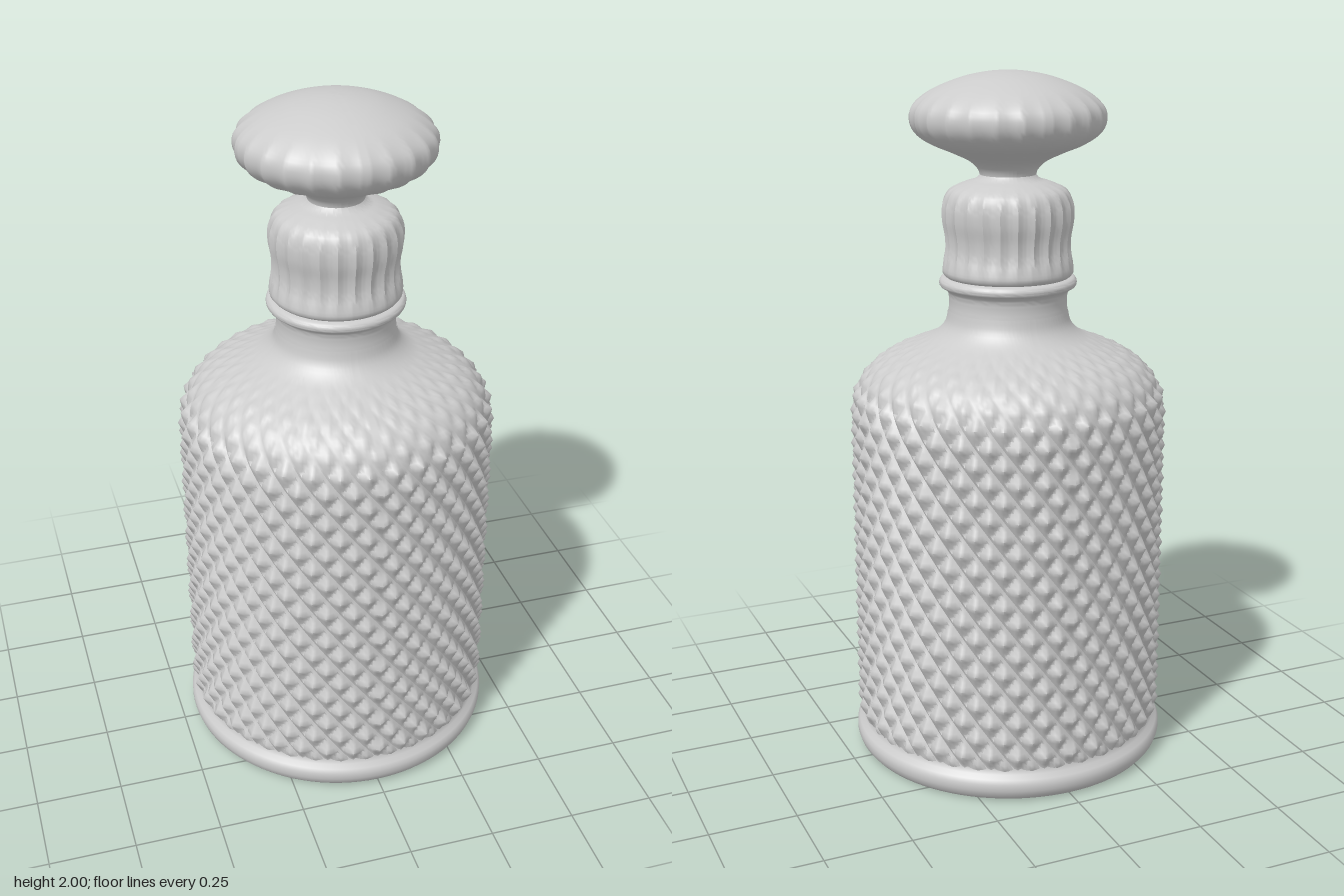
import * as THREE from 'three';
import { toCreasedNormals } from 'three/addons/utils/BufferGeometryUtils.js';

const material = new THREE.MeshStandardMaterial({ color: 0xf8f9f9 });
const vec = (p) => new THREE.Vector2(p[0], p[1]);
const smooth = (pts, n) => new THREE.SplineCurve(pts.map(vec)).getSpacedPoints(n);

// Turned part; relief(row, angle, y) pushes each vertex along its normal
function turned(name, profile, segments, crease, relief) {
  const geo = new THREE.LatheGeometry(profile, segments);
  if (relief) {
    const pos = geo.attributes.position, nor = geo.attributes.normal;
    const rows = profile.length;
    for (let i = 0; i < pos.count; i++) {
      const angle = (Math.floor(i / rows) % segments) / segments * Math.PI * 2;
      const d = relief(i % rows, angle, pos.getY(i));
      pos.setXYZ(i, pos.getX(i) + nor.getX(i) * d, pos.getY(i) + nor.getY(i) * d, pos.getZ(i) + nor.getZ(i) * d);
    }
  }
  const mesh = new THREE.Mesh(toCreasedNormals(geo, crease), material);
  mesh.name = name;
  return mesh;
}

// Raised ridges with shallow hollows between, 24 around
const ridge = (angle) => 0.5 - Math.abs(Math.sin(angle * 12));
const step = THREE.MathUtils.smoothstep;

export function createModel() {
  const group = new THREE.Group();

  // Rounded foot with a flat underside
  group.add(turned('base', [
    [0, 0], [0.43, 0], [0.445, 0.005], [0.456, 0.018], [0.462, 0.035], [0.462, 0.055],
    [0.455, 0.067], [0.443, 0.078], [0.437, 0.092], [0.436, 0.11],
  ].map(vec), 96, 0.7));

  // Body wall and shoulder, covered in staggered diamonds that flatten towards the neck
  const path = new THREE.CurvePath();
  path.add(new THREE.LineCurve(vec([0.436, 0.08]), vec([0.436, 1.04])));
  path.add(new THREE.SplineCurve([
    [0.436, 1.04], [0.428, 1.09], [0.4, 1.15], [0.35, 1.19], [0.285, 1.222],
    [0.217, 1.255], [0.182, 1.29], [0.172, 1.33],
  ].map(vec)));
  const rowStep = 0.0125, columns = 36;
  const profile = path.getSpacedPoints(Math.round(path.getLength() / rowStep));
  const offCentre = (t) => Math.abs(t - Math.floor(t) - 0.5) * 2;
  group.add(turned('body', profile, columns * 8, 1.2, (row, angle, y) => {
    const u = angle / (Math.PI * 2) * columns, v = row / 8;
    const point = 1 - Math.max(offCentre(u + v), offCentre(u - v));
    const height = 0.024 - 0.016 * step(y, 1.08, 1.17);
    return point * height * step(y, 0.08, 0.11) * (1 - step(y, 1.18, 1.27));
  }));

  // Plain neck
  group.add(turned('neck', smooth([[0.172, 1.32], [0.169, 1.35], [0.172, 1.38], [0.185, 1.395]], 12), 72, 0.7));

  // Lip ring under the collar
  group.add(turned('lipRing', smooth([
    [0.165, 1.39], [0.19, 1.396], [0.197, 1.408], [0.19, 1.422], [0.165, 1.428],
  ], 14), 72, 0.7));

  // Fluted collar
  group.add(turned('collar', smooth([
    [0.165, 1.418], [0.186, 1.435], [0.185, 1.46], [0.176, 1.5], [0.176, 1.54], [0.184, 1.59],
    [0.182, 1.635], [0.165, 1.67], [0.125, 1.69], [0.09, 1.702], [0.075, 1.72],
  ], 40), 192, 0.8, (row, angle, y) =>
    0.008 * ridge(angle) * step(y, 1.43, 1.5) * (1 - step(y, 1.62, 1.7))));

  // Mushroom stopper with shallow flutes around its rim
  group.add(turned('stopper', smooth([
    [0.078, 1.7], [0.083, 1.725], [0.11, 1.752], [0.165, 1.778], [0.225, 1.805], [0.262, 1.838],
    [0.273, 1.875], [0.26, 1.91], [0.21, 1.948], [0.13, 1.98], [0.06, 1.995], [0, 2],
  ], 48), 192, 0.8, (row, angle, y) =>
    0.008 * ridge(angle) * step(y, 1.77, 1.85) * (1 - step(y, 1.87, 1.96))));

  return group;
}
